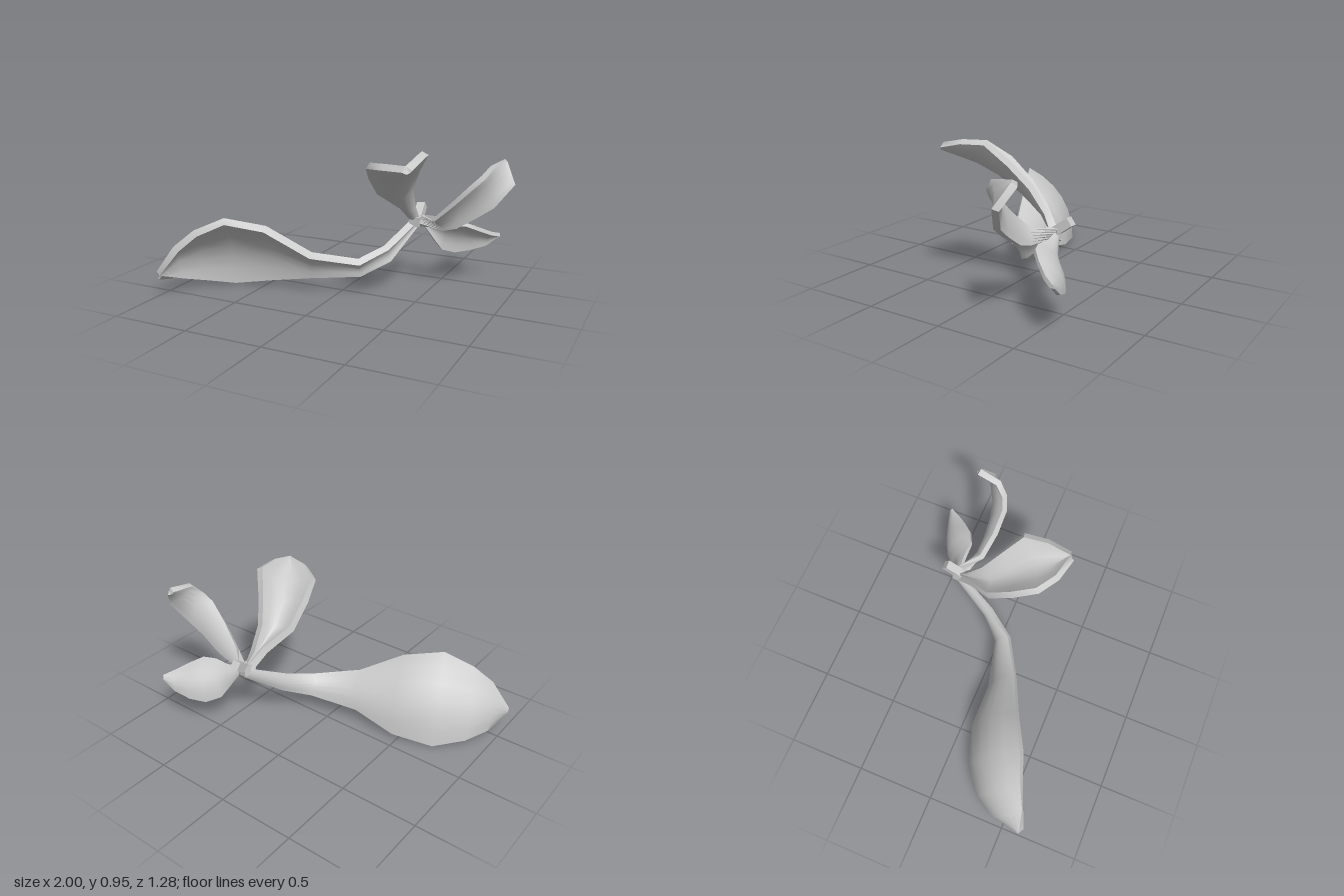
import * as THREE from 'three';
import { toCreasedNormals } from 'three/addons/utils/BufferGeometryUtils.js';

const material = new THREE.MeshStandardMaterial({ color: 0xcccccc });
const COLS = 6; // strips across each leaf

// Normal of a grid of points: direction along the leaf x direction across it
function gridNormal(grid, i, j) {
  const a = Math.max(i - 1, 0), b = Math.min(i + 1, grid.length - 1);
  const c = Math.max(j - 1, 0), d = Math.min(j + 1, grid[0].length - 1);
  const along = grid[b][j].clone().sub(grid[a][j]);
  const across = grid[i][d].clone().sub(grid[i][c]);
  return along.cross(across).normalize();
}

// Thick curved leaf: each row is [edge A xyz, edge B xyz], cupped by a share of its width
function leaf(name, rows, cup, thickness = 0.045) {
  const chords = rows.map((r) => [new THREE.Vector3(...r.slice(0, 3)), new THREE.Vector3(...r.slice(3))]);
  const grid = chords.map(([a, b], i) => {
    const n = gridNormal(chords, i, 0).add(gridNormal(chords, i, 1)).normalize();
    const depth = cup * a.distanceTo(b);
    return Array.from({ length: COLS + 1 }, (_, j) => {
      const s = (2 * j) / COLS - 1;
      return a.clone().lerp(b, j / COLS).addScaledVector(n, depth * (1 - s * s));
    });
  });
  const last = grid.length - 1;
  const shell = (side) => grid.map((row, i) => row.map((p, j) =>
    p.clone().addScaledVector(gridNormal(grid, i, j), side * thickness / 2)));
  const top = shell(1), under = shell(-1);
  const pos = [];
  const quad = (a, b, c, d) => [a, b, c, a, c, d].forEach((p) => pos.push(p.x, p.y, p.z));

  // Both faces
  for (let i = 0; i < last; i++) {
    for (let j = 0; j < COLS; j++) {
      quad(top[i][j], top[i + 1][j], top[i + 1][j + 1], top[i][j + 1]);
      quad(under[i][j], under[i][j + 1], under[i + 1][j + 1], under[i + 1][j]);
    }
  }
  // Rim, walked once around the outline
  const loop = [];
  for (let i = 0; i < last; i++) loop.push([i, 0]);
  for (let j = 0; j < COLS; j++) loop.push([last, j]);
  for (let i = last; i > 0; i--) loop.push([i, COLS]);
  for (let j = COLS; j > 0; j--) loop.push([0, j]);
  loop.forEach(([i, j], k) => {
    const [m, n] = loop[(k + 1) % loop.length];
    quad(top[i][j], under[i][j], under[m][n], top[m][n]);
  });

  const geometry = new THREE.BufferGeometry();
  geometry.setAttribute('position', new THREE.Float32BufferAttribute(pos, 3));
  const mesh = new THREE.Mesh(toCreasedNormals(geometry, 0.85), material);
  mesh.name = name;
  return mesh;
}

// Square twig between two points
function twig(name, from, to, width) {
  const a = new THREE.Vector3(...from), b = new THREE.Vector3(...to);
  const mesh = new THREE.Mesh(new THREE.BoxGeometry(width, a.distanceTo(b), width), material);
  mesh.position.copy(a).lerp(b, 0.5);
  mesh.quaternion.setFromUnitVectors(new THREE.Vector3(0, 1, 0), b.sub(a).normalize());
  mesh.name = name;
  return mesh;
}

export function createModel() {
  const group = new THREE.Group();
  group.name = 'leafSprig';

  // Long drooping leaf
  group.add(leaf('largeLeaf', [
    [0.37, 0.41, -0.38, 0.35, 0.44, -0.34],
    [0.27, 0.21, -0.13, 0.26, 0.31, -0.10],
    [0.13, 0.14, 0.01, 0.15, 0.25, 0.08],
    [-0.18, 0.11, 0.09, -0.11, 0.30, 0.23],
    [-0.47, 0.05, 0.09, -0.37, 0.465, 0.34],
    [-0.71, 0.02, 0.17, -0.59, 0.515, 0.455],
    [-0.86, 0.055, 0.30, -0.76, 0.435, 0.525],
    [-0.94, 0.09, 0.43, -0.87, 0.335, 0.58],
    [-0.975, 0.14, 0.61, -0.985, 0.17, 0.625],
  ], 0.15));

  // Leaf arching up and forward
  group.add(leaf('frontLeaf', [
    [0.34, 0.45, -0.36, 0.38, 0.45, -0.36],
    [0.29, 0.56, -0.26, 0.36, 0.55, -0.30],
    [0.205, 0.67, -0.10, 0.375, 0.69, -0.20],
    [0.21, 0.80, 0.05, 0.45, 0.83, -0.10],
    [0.26, 0.89, 0.20, 0.54, 0.955, 0.0],
    [0.38, 0.905, 0.28, 0.56, 0.95, 0.15],
    [0.53, 0.91, 0.315, 0.555, 0.915, 0.30],
  ], -0.3));

  // Leaf rising to the side
  group.add(leaf('sideLeaf', [
    [0.38, 0.48, -0.38, 0.38, 0.42, -0.34],
    [0.52, 0.49, -0.27, 0.57, 0.415, -0.31],
    [0.65, 0.61, -0.23, 0.66, 0.44, -0.30],
    [0.77, 0.73, -0.215, 0.78, 0.52, -0.30],
    [0.83, 0.79, -0.24, 0.88, 0.59, -0.32],
    [0.87, 0.855, -0.30, 0.985, 0.73, -0.385],
    [0.89, 0.87, -0.44, 0.915, 0.85, -0.45],
  ], 0.1, 0.04));

  // Small hanging leaf at the back
  group.add(leaf('backLeaf', [
    [0.38, 0.45, -0.37, 0.40, 0.41, -0.39],
    [0.50, 0.435, -0.385, 0.47, 0.30, -0.42],
    [0.60, 0.435, -0.385, 0.50, 0.235, -0.47],
    [0.68, 0.435, -0.42, 0.57, 0.205, -0.54],
    [0.74, 0.40, -0.48, 0.66, 0.22, -0.59],
    [0.81, 0.355, -0.565, 0.76, 0.255, -0.62],
    [0.85, 0.335, -0.63, 0.84, 0.32, -0.635],
  ], 0.18, 0.025));

  // Cut twig end and the joint where the leaves meet
  group.add(twig('twigEnd', [0.37, 0.45, -0.36], [0.36, 0.525, -0.46], 0.055));
  group.add(twig('leafJoint', [0.36, 0.445, -0.31], [0.37, 0.445, -0.40], 0.065));

  return group;
}
